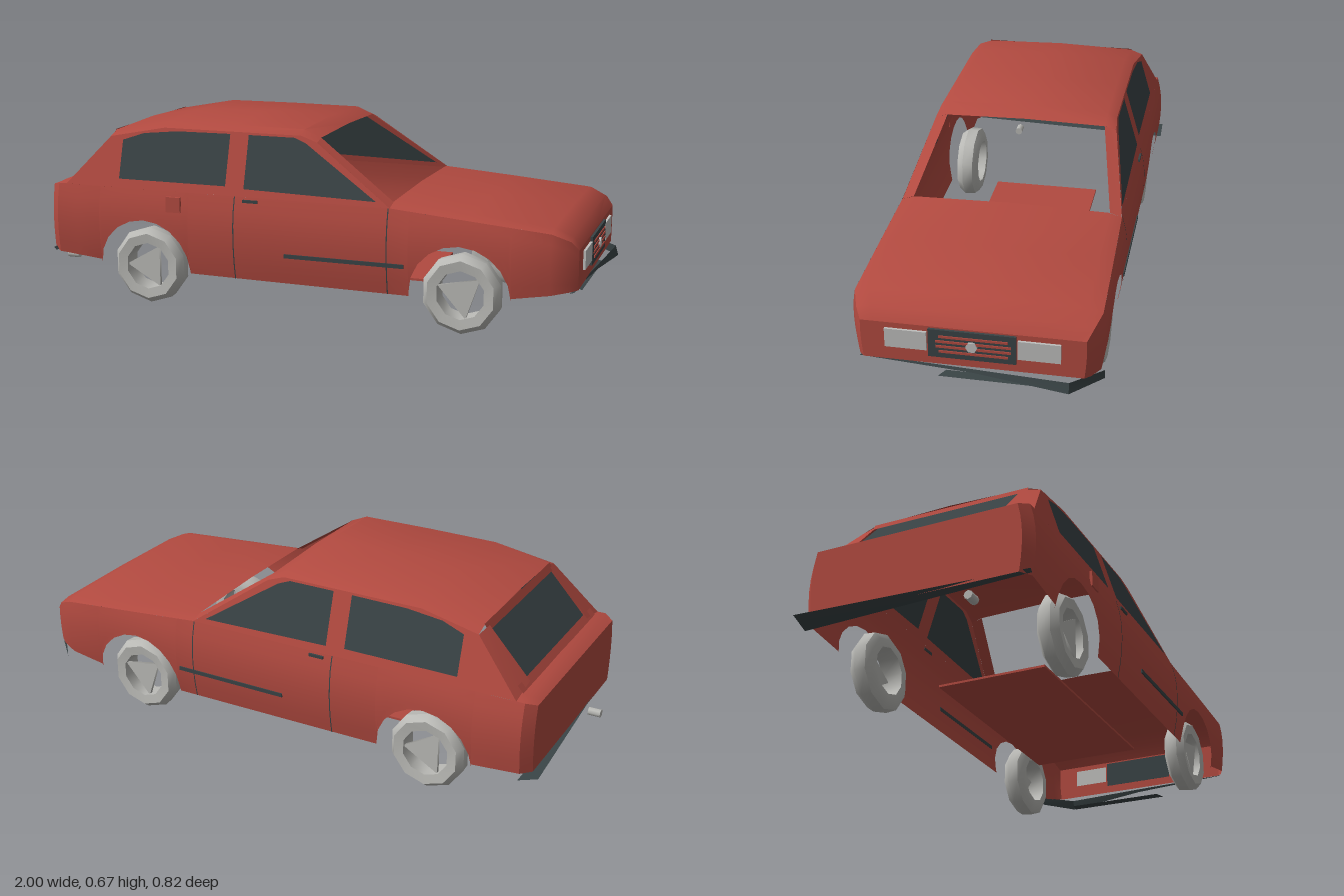
import * as THREE from 'three';
import { toCreasedNormals } from 'three/addons/utils/BufferGeometryUtils.js';

const material = (name, color) => {
  const m = new THREE.MeshStandardMaterial({ color, side: THREE.DoubleSide });
  m.name = name;
  return m;
};

// Surface through rows of [x, y, z] points
function grid(rows) {
  const n = rows[0].length, index = [];
  for (let i = 0; i < rows.length - 1; i++)
    for (let j = 0; j < n - 1; j++) {
      const a = i * n + j;
      index.push(a, a + n, a + 1, a + 1, a + n, a + n + 1);
    }
  const g = new THREE.BufferGeometry();
  g.setAttribute('position', new THREE.Float32BufferAttribute(rows.flat(2), 3));
  g.setIndex(index);
  g.computeVertexNormals();
  return toCreasedNormals(g, 0.6);
}

// Piecewise-linear lookup in [x, value] pairs
function lerpTable(table, x) {
  for (let i = 0; i < table.length - 1; i++) {
    const [x0, v0] = table[i], [x1, v1] = table[i + 1];
    if (x <= x1) return v0 + (v1 - v0) * Math.max(0, (x - x0) / (x1 - x0));
  }
  return table[table.length - 1][1];
}

const WHEELS = [-0.585, 0.575], ARCH = 0.175;
const halfWidth = x => lerpTable([[-0.965, 0.37], [-0.93, 0.4], [0.88, 0.4], [0.94, 0.375], [0.965, 0.355]], x) / 0.4;
const topY = x => lerpTable([[-0.965, 0.42], [-0.93, 0.43], [0.33, 0.428], [0.88, 0.385], [0.94, 0.36], [0.965, 0.33]], x);
const bulge = y => 0.406 - 0.02 * ((y - 0.3) / (y < 0.3 ? 0.17 : 0.13)) ** 2;
function bottomY(x) {
  for (const c of WHEELS) {
    const d = Math.abs(x - c);
    if (d <= ARCH) return 0.145 + Math.sqrt(ARCH * ARCH - d * d);
  }
  return lerpTable([[-0.965, 0.18], [-0.761, 0.16], [-0.4, 0.135], [0.4, 0.13], [0.751, 0.155], [0.965, 0.195]], x);
}
const archStations = c => {
  const s = [c - ARCH - 0.001];
  for (let i = 0; i <= 10; i++) s.push(c - ARCH * 0.9999 * Math.cos(i * Math.PI / 10));
  return [...s, c + ARCH + 0.001];
};
const cabinZ = y => 0.386 - (y - 0.43) * 0.3;

export function createModel() {
  const car = new THREE.Group();
  const red = material('red paint', 0xb24a40);
  const dark = material('dark glass and trim', 0x394345);
  const grey = material('wheel grey', 0xb9b9b5);
  const lamp = material('lamp grey', 0xbebebc);
  const add = (name, geometry, mat, parent = car) => {
    const m = new THREE.Mesh(geometry, mat);
    m.name = name;
    parent.add(m);
    return m;
  };
  const box = (name, mat, w, h, d, x, y, z) =>
    add(name, new THREE.BoxGeometry(w, h, d), mat).position.set(x, y, z);

  // Lower body sides with wheel arches
  const stations = [-0.965, -0.93, -0.85, ...archStations(WHEELS[0]), -0.1, 0.15, 0.33,
    ...archStations(WHEELS[1]), 0.88, 0.94, 0.965];
  const column = (x, s) => {
    const b = bottomY(x), t = topY(x);
    return Array.from({ length: 7 }, (_, i) => {
      const y = b + (t - b) * i / 6;
      return [x, y, s * bulge(y) * halfWidth(x)];
    });
  };
  for (const s of [1, -1]) add('lowerSide', grid(stations.map(x => column(x, s))), red);
  for (const x of [-0.965, 0.965])
    add(x > 0 ? 'nosePanel' : 'tailPanel', grid([column(x, 1), column(x, -1)]), red);

  // Hood and rear deck
  const topRow = (x, crown) => {
    const t = topY(x), e = bulge(t) * halfWidth(x);
    return [[x, t, e], [x, t + crown * 0.7, e * 0.88], [x, t + crown, 0], [x, t + crown * 0.7, -e * 0.88], [x, t, -e]];
  };
  add('hood', grid([[0.33, 0.02], [0.6, 0.02], [0.88, 0.017], [0.94, 0.012], [0.965, 0]].map(a => topRow(...a))), red);
  add('rearDeck', grid([[-0.965, 0], [-0.93, 0.008], [-0.88, 0.01]].map(a => topRow(...a))), red);

  // Cabin sides with glass
  const outline = [[-0.9, 0.43], [-0.74, 0.605], [-0.53, 0.645], [-0.01, 0.645], [0.05, 0.625], [0.33, 0.428]];
  const windows = {
    rearSideGlass: [[-0.69, 0.46], [-0.69, 0.595], [-0.61, 0.622], [-0.48, 0.635], [-0.275, 0.637], [-0.275, 0.46]],
    frontSideGlass: [[-0.205, 0.455], [-0.205, 0.637], [-0.035, 0.637], [0.01, 0.62], [0.28, 0.445]],
  };
  const shapeOf = pts => new THREE.Shape(pts.map(p => new THREE.Vector2(...p)));
  const sidePanel = (shape, s) => {
    const g = new THREE.ShapeGeometry(shape), p = g.attributes.position;
    for (let i = 0; i < p.count; i++) p.setZ(i, s * cabinZ(p.getY(i)));
    g.computeVertexNormals();
    return g;
  };
  for (const s of [1, -1]) {
    const frame = shapeOf(outline);
    for (const [name, pts] of Object.entries(windows)) {
      frame.holes.push(shapeOf(pts));
      add(name, sidePanel(shapeOf(pts), s), dark);
    }
    add('cabinSide', sidePanel(frame, s), red);
    // Windscreen pillar and rear pillar
    add('windscreenPillar', grid([
      [[0.05, 0.625, s * cabinZ(0.625)], [0.33, 0.428, s * 0.386]],
      [[0.05, 0.636, s * 0.285], [0.33, 0.442, s * 0.345]]]), red);
    add('rearPillar', grid([
      [[-0.74, 0.605, s * cabinZ(0.605)], [-0.9, 0.43, s * 0.386]],
      [[-0.75, 0.615, s * 0.27], [-0.9, 0.45, s * 0.27]]]), red);
  }

  // Roof: x, side height, edge height, centre height
  const roof = [[0.05, 0.625, 0.636, 0.642], [-0.01, 0.645, 0.662, 0.671], [-0.27, 0.645, 0.664, 0.673],
    [-0.53, 0.645, 0.662, 0.67], [-0.74, 0.605, 0.622, 0.63]];
  add('roof', grid(roof.map(([x, a, b, c]) => [[x, a, cabinZ(a)], [x, b, 0.287], [x, c, 0],
    [x, b, -0.287], [x, a, -cabinZ(a)]])), red);
  const strip = (x0, y0, x1, y1, z) => grid([[[x0, y0, z], [x0, y0, -z]], [[x1, y1, z], [x1, y1, -z]]]);
  add('rearHeader', strip(-0.74, 0.625, -0.755, 0.6, 0.29), red);
  add('rearGlass', strip(-0.755, 0.6, -0.885, 0.46, 0.27), dark);
  add('rearSill', strip(-0.885, 0.46, -0.905, 0.438, 0.34), red);

  // Floor strip
  box('floor', red, 0.82, 0.008, 0.4, -0.01, 0.136, 0);

  // Wheels: faceted tyre ring with a three-cornered hub
  const ring = [[0.085, -0.04], [0.115, -0.04], [0.137, -0.025], [0.14, 0.015], [0.12, 0.04], [0.085, 0.036], [0.085, -0.04]];
  const tyre = toCreasedNormals(new THREE.LatheGeometry(ring.map(p => new THREE.Vector2(...p)), 10).rotateX(Math.PI / 2), 0.7);
  const hub = new THREE.CylinderGeometry(0.086, 0.086, 0.012, 3).toNonIndexed().rotateX(Math.PI / 2);
  WHEELS.forEach((x, i) => {
    for (const s of [1, -1]) {
      const wheel = new THREE.Group();
      wheel.name = i ? 'frontWheel' : 'rearWheel';
      add('tyre', tyre, grey, wheel);
      const h = add('hub', hub, grey, wheel);
      h.position.z = 0.02;
      h.rotation.z = i ? 0.2 : -Math.PI / 2;
      wheel.position.set(x, 0.145, s * 0.34);
      if (s < 0) wheel.rotation.y = Math.PI;
      car.add(wheel);
    }
  });

  // Side trim, door seams, handles and filler cap
  for (const s of [1, -1]) {
    box('sideStripe', dark, 0.43, 0.014, 0.006, 0.17, 0.235, s * 0.404);
    box('doorHandle', dark, 0.055, 0.01, 0.008, -0.175, 0.415, s * 0.392);
    for (const x of [-0.235, 0.325])
      add('doorSeam', grid([x - 0.002, x + 0.002].map(v => column(v, s).map(p => [p[0], p[1], p[2] + s * 0.002]))), dark);
  }
  box('fillerCap', red, 0.055, 0.055, 0.01, -0.465, 0.385, 0.402);

  // Grille, lamps and round centre plate
  box('grille', dark, 0.009, 0.1, 0.28, 0.969, 0.275, 0);
  for (let i = 0; i < 4; i++)
    box('grilleBar', red, 0.004, 0.008, 0.25 - Math.abs(i - 1.5) * 0.02, 0.9745, 0.248 + i * 0.018, -0.005);
  add('grilleDisc', new THREE.CylinderGeometry(0.019, 0.019, 0.008, 6).rotateZ(Math.PI / 2), lamp).position.set(0.977, 0.275, 0);
  for (const s of [1, -1]) box('headlamp', lamp, 0.009, 0.066, 0.135, 0.969, 0.278, s * 0.213);

  // Thin bumper blades and exhaust
  add('frontBumper', grid([
    [[0.955, 0.19, 0.37], [0.975, 0.18, 0], [1, 0.155, -0.31], [0.9, 0.16, -0.41]],
    [[0.94, 0.185, 0.37], [0.97, 0.19, 0], [0.99, 0.19, -0.31], [0.9, 0.19, -0.41]]]), dark);
  add('frontLip', grid([[[0.94, 0.13, 0.12], [0.95, 0.135, -0.28]], [[0.91, 0.135, 0.1], [0.92, 0.14, -0.28]]]), dark);
  add('rearBumper', grid([
    [[-0.955, 0.19, 0.4], [-1, 0.185, -0.41]],
    [[-0.945, 0.18, 0.4], [-0.93, 0.16, -0.41]]]), dark);
  const pipe = add('exhaustPipe', new THREE.CylinderGeometry(0.015, 0.015, 0.045, 8).rotateZ(Math.PI / 2), grey);
  pipe.position.set(-0.977, 0.12, 0.215);
  return car;
}
